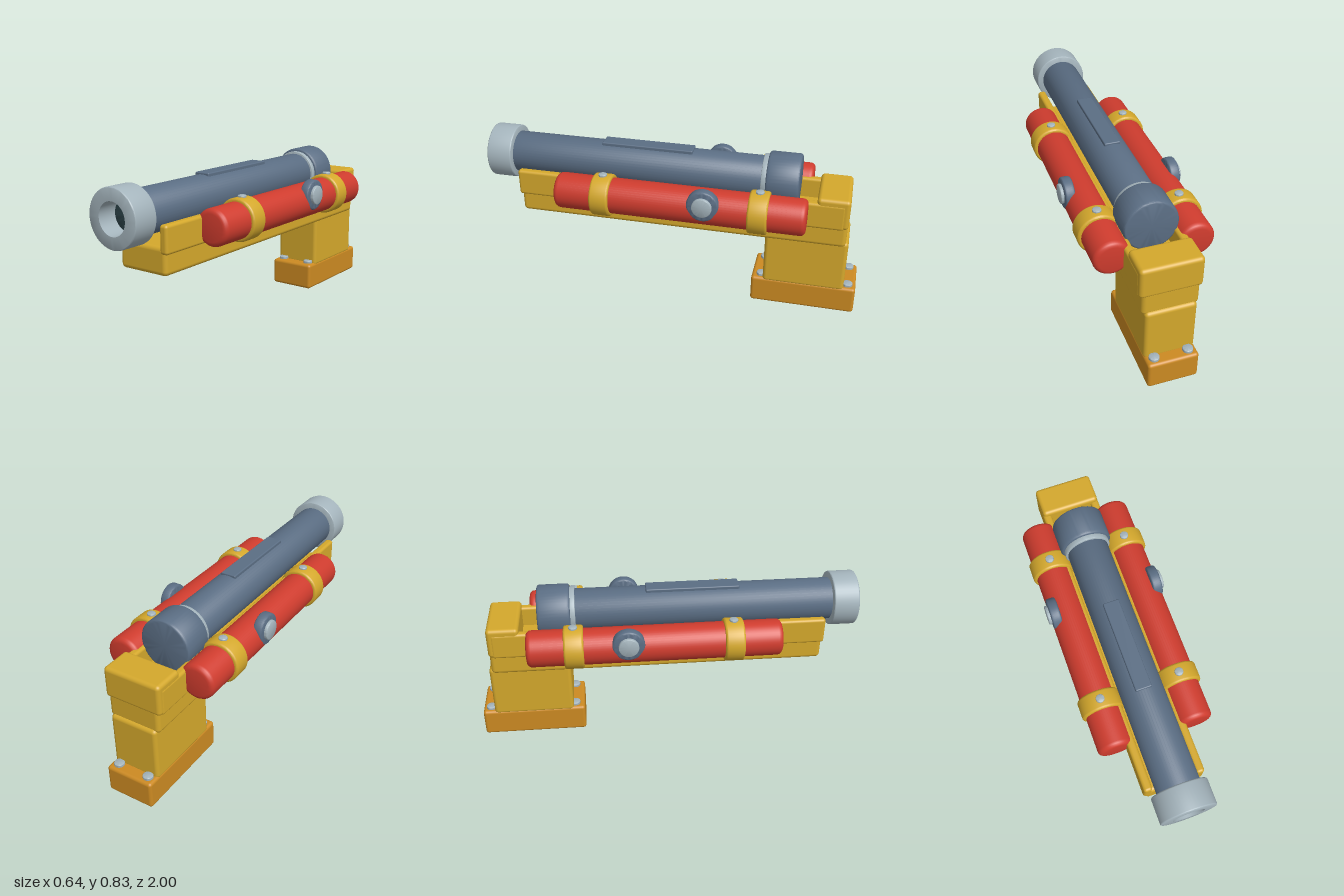
import * as THREE from 'three';
import { toCreasedNormals } from 'three/addons/utils/BufferGeometryUtils.js';
import { RoundedBoxGeometry } from 'three/addons/geometries/RoundedBoxGeometry.js';

const paint = (name, color) => {
  const m = new THREE.MeshStandardMaterial({ color });
  m.name = name;
  return m;
};

// Lathed cylinder with rounded rims, centred on the y axis; inner > 0 makes a ring
function roundedCylinder(radius, length, bevel, inner = 0) {
  const h = length / 2, steps = 4, pts = [new THREE.Vector2(inner, -h)];
  for (const end of [-1, 1]) {
    for (let i = 0; i <= steps; i++) {
      const a = (end < 0 ? i - steps : i) / steps * Math.PI / 2;
      pts.push(new THREE.Vector2(
        radius - bevel + Math.cos(a) * bevel,
        end * (h - bevel) + Math.sin(a) * bevel));
    }
  }
  pts.push(new THREE.Vector2(inner, h));
  if (inner > 0) pts.push(new THREE.Vector2(inner, -h));
  return toCreasedNormals(new THREE.LatheGeometry(pts, 48), 0.6);
}

export function createModel() {
  const model = new THREE.Group();
  model.name = 'cannon';
  const yellow = paint('yellow', 0xd4a82c);
  const orange = paint('orange', 0xcc8a22);
  const red = paint('red', 0xcf3c2e);
  const slate = paint('slate', 0x5b6e84);
  const steel = paint('steel', 0xa4b4bc);
  const dark = paint('dark bore', 0x2e444a);

  const add = (name, geometry, material, x, y, z) => {
    const mesh = new THREE.Mesh(geometry, material);
    mesh.name = name;
    mesh.position.set(x, y, z);
    model.add(mesh);
    return mesh;
  };
  // Box given by its extents on each axis
  const box = (name, material, [x0, x1], [y0, y1], [z0, z1], r) =>
    add(name, new RoundedBoxGeometry(x1 - x0, y1 - y0, z1 - z0, 4, r), material,
      (x0 + x1) / 2, (y0 + y1) / 2, (z0 + z1) / 2);
  // Cylinder lying along z between z0 and z1
  const tube = (name, material, r, x, y, z0, z1, bevel, inner = 0) => {
    const mesh = add(name, roundedCylinder(r, z1 - z0, bevel, inner), material, x, y, (z0 + z1) / 2);
    mesh.rotation.x = Math.PI / 2;
    return mesh;
  };

  // Pedestal
  box('foot', orange, [-0.128, 0.128], [0, 0.147], [-1, -0.452], 0.016);
  box('column', yellow, [-0.128, 0.128], [0.13, 0.42], [-0.937, -0.512], 0.02);
  for (const x of [-0.085, 0.085]) {
    for (const z of [-0.503, -0.957]) {
      add('footBolt', roundedCylinder(0.026, 0.03, 0.005), steel, x, 0.147, z);
    }
  }

  // Cradle
  box('cradleBeam', yellow, [-0.141, 0.141], [0.4, 0.538], [-0.922, 0.818], 0.022);
  box('rearBlock', yellow, [-0.155, 0.155], [0.508, 0.672], [-0.925, -0.76], 0.02);

  // Barrel
  const axis = 0.687;
  tube('barrel', slate, 0.11, 0, axis, -0.52, 0.89, 0.003);
  tube('muzzle', steel, 0.143, 0, axis, 0.865, 1, 0.008, 0.08);
  tube('bore', dark, 0.082, 0, axis, 0.885, 0.9, 0.002);
  tube('breechRing', steel, 0.122, 0, axis, -0.51, -0.47, 0.004);
  tube('breech', slate, 0.137, 0, axis, -0.663, -0.495, 0.014);
  box('topPlate', slate, [-0.042, 0.042], [0.77, 0.806], [-0.105, 0.38], 0.006);

  // Side tubes with their fittings, mirrored left and right
  for (const s of [-1, 1]) {
    const x = s * 0.208, y = 0.591;
    add('cradleRail', new RoundedBoxGeometry(0.044, 0.14, 1.73, 4, 0.015), yellow,
      s * 0.135, 0.575, -0.04);
    tube('sideTube', red, 0.0935, x, y, -0.72, 0.575, 0.025);
    for (const z of [0.327, -0.483]) {
      tube('strap', yellow, 0.11, x, y, z - 0.05, z + 0.05, 0.012, 0.09);
      add('strapBolt', roundedCylinder(0.022, 0.03, 0.005), steel, x, 0.695, z);
    }
    const knob = add('knob', roundedCylinder(0.082, 0.052, 0.012), slate, s * 0.276, 0.632, -0.21);
    const cap = add('knobCap', roundedCylinder(0.051, 0.038, 0.006), steel, s * 0.299, 0.632, -0.21);
    knob.rotation.z = cap.rotation.z = Math.PI / 2;
  }
  return model;
}
